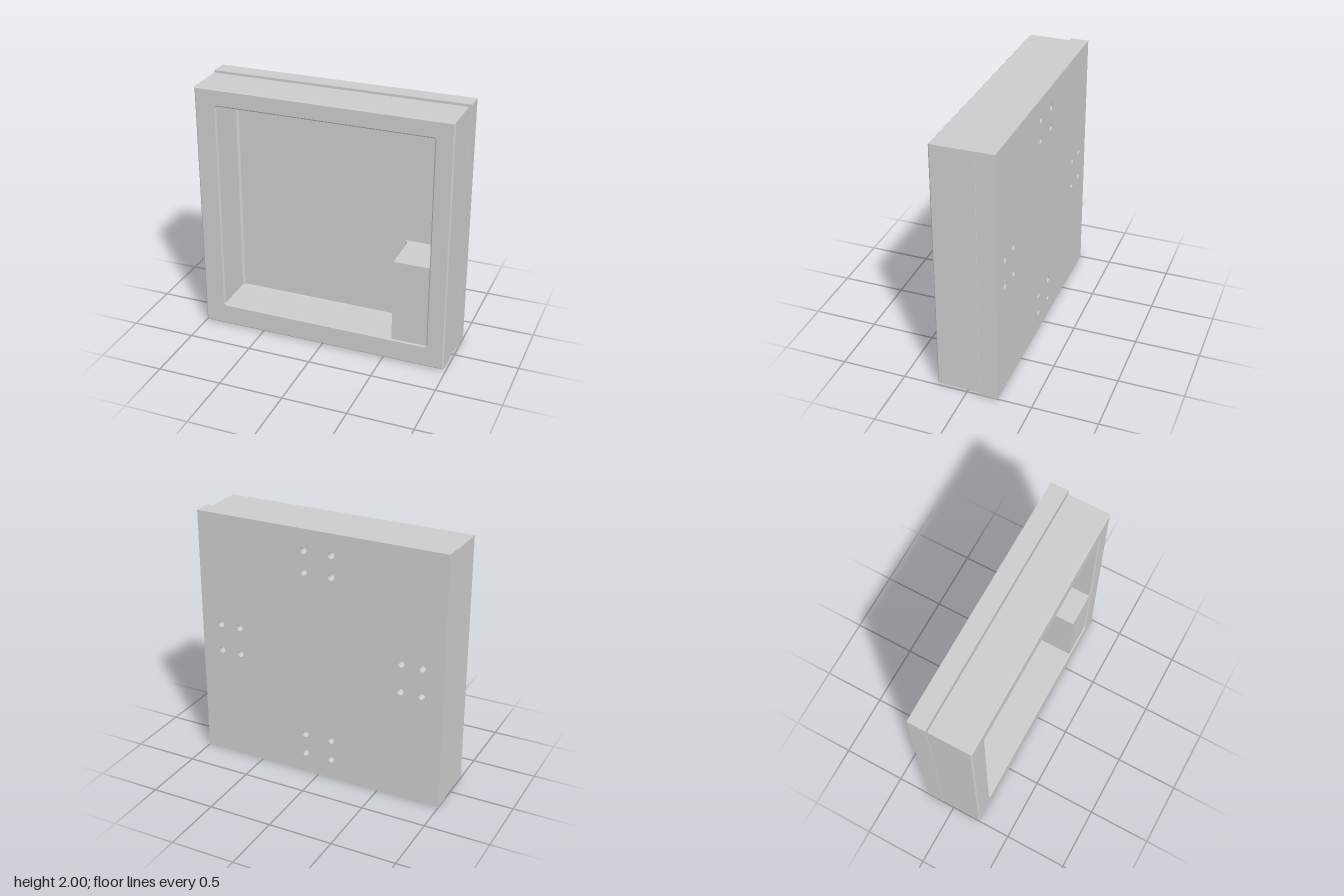
import * as THREE from 'three';

const material = new THREE.MeshStandardMaterial({ color: 0xcccccc, flatShading: true });

function outline(points, Type = THREE.Shape) {
  return new Type(points.map(([x, y]) => new THREE.Vector2(x, y)));
}

function rect(x0, y0, x1, y1, Type) {
  return outline([[x0, y0], [x1, y0], [x1, y1], [x0, y1]], Type);
}

// Rectangle with small cut corners
function cutRect(x0, y0, x1, y1, c, Type) {
  return outline([
    [x0 + c, y0], [x1 - c, y0], [x1, y0 + c], [x1, y1 - c],
    [x1 - c, y1], [x0 + c, y1], [x0, y1 - c], [x0, y0 + c],
  ], Type);
}

// Extrudes a shape between z0 and z1, with chamfers cut into its edges
function slab(name, shape, z0, z1, bevel = 0) {
  const geometry = new THREE.ExtrudeGeometry(shape, {
    depth: z1 - z0 - 2 * bevel,
    bevelEnabled: bevel > 0,
    bevelThickness: bevel,
    bevelSize: bevel,
    bevelOffset: -bevel,
    bevelSegments: 1,
    curveSegments: 16,
  });
  geometry.translate(0, 0, z0 + bevel);
  const mesh = new THREE.Mesh(geometry, material);
  mesh.name = name;
  return mesh;
}

export function createModel() {
  const model = new THREE.Group();
  model.name = 'boxFrame';

  // Back plate: drilled rear layer and solid front layer
  const backPlate = new THREE.Group();
  backPlate.name = 'backPlate';
  const drilled = rect(-1, 0, 1, 2);
  for (const side of [-1, 1]) {
    for (const radial of [0.67, 0.835]) {
      for (const across of [-0.11, 0.11]) {
        for (const [x, y] of [[across, side * radial], [side * radial, across]]) {
          drilled.holes.push(new THREE.Path().absarc(x, 1 + y, 0.025, 0, Math.PI * 2, true));
        }
      }
    }
  }
  backPlate.add(slab('drilledLayer', drilled, -0.24, -0.14));
  backPlate.add(slab('solidLayer', rect(-1, 0, 1, 2), -0.14, -0.1));
  model.add(backPlate);

  // Deep frame with chamfered edges around a square opening
  const frame = rect(-0.995, 0.005, 0.98, 1.985);
  frame.holes.push(cutRect(-0.825, 0.18, 0.84, 1.85, 0.01, THREE.Path));
  model.add(slab('frame', frame, -0.1, 0.24, 0.01));

  // Block filling the lower corner of the opening
  model.add(slab('cornerBlock', rect(0.565, 0.16, 0.86, 0.84), -0.11, 0.23));

  // Sloped bead where the walls meet the floor, following the block
  const bead = rect(-0.92, 0.08, 0.92, 1.93);
  bead.holes.push(outline([
    [-0.81, 0.195], [0.55, 0.195], [0.55, 0.855],
    [0.825, 0.855], [0.825, 1.835], [-0.81, 1.835],
  ], THREE.Path));
  model.add(slab('floorBead', bead, -0.135, -0.085, 0.015));

  return model;
}
